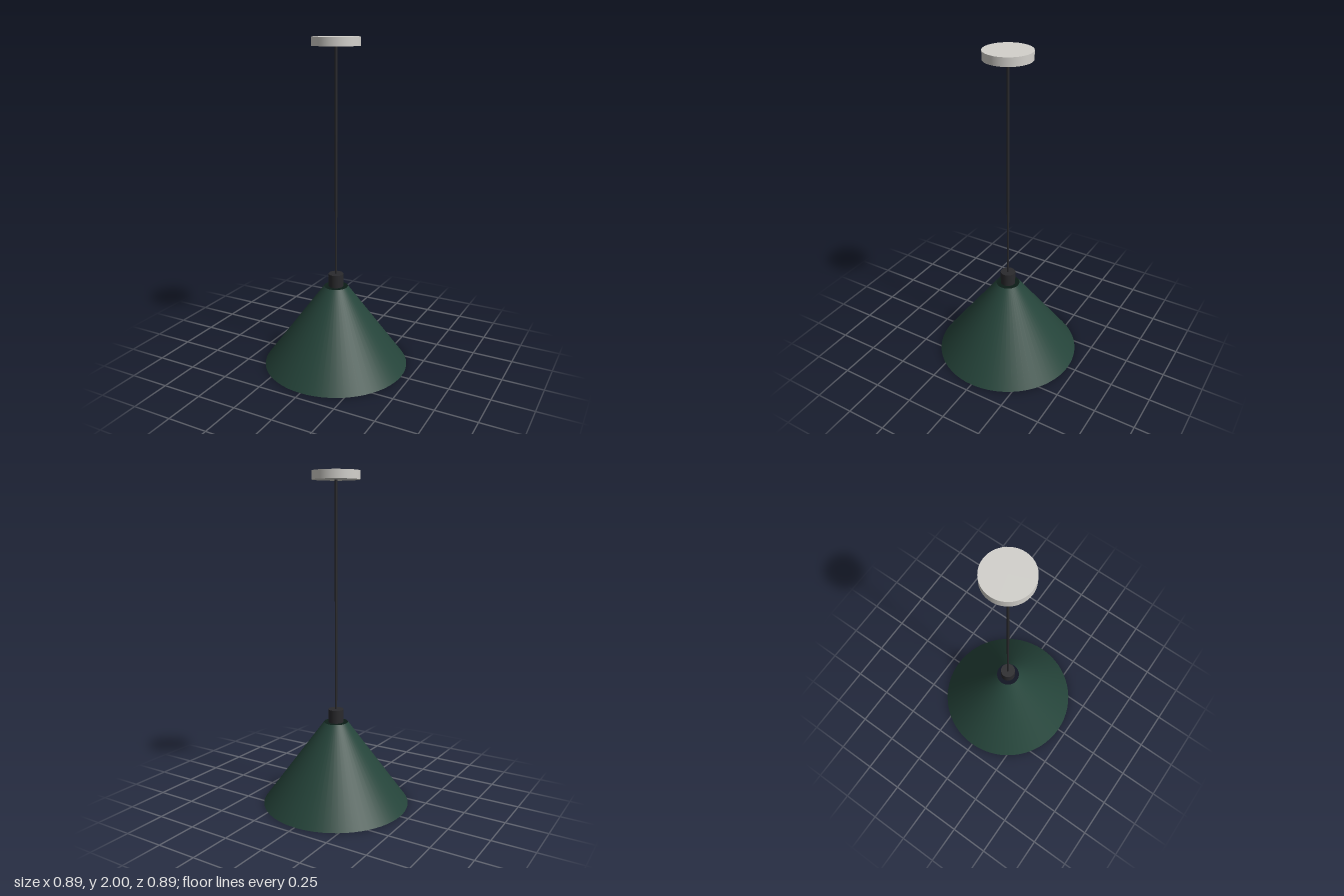
import * as THREE from 'three';

const material = (name, color, side = THREE.FrontSide) => {
  const m = new THREE.MeshStandardMaterial({ color, side });
  m.name = name;
  return m;
};

export function createModel() {
  const group = new THREE.Group();
  group.name = 'pendantLamp';

  const green = material('dark green', 0x25443a, THREE.DoubleSide);
  const black = material('charcoal', 0x2a2a2d);
  const white = material('warm white', 0xd3d1cc);

  // Round part standing between two heights
  const addRound = (name, mat, rTop, rBottom, y0, y1, segments, open = false) => {
    const geometry = new THREE.CylinderGeometry(rTop, rBottom, y1 - y0, segments, 1, open);
    const mesh = new THREE.Mesh(geometry, mat);
    mesh.name = name;
    mesh.position.y = (y0 + y1) / 2;
    group.add(mesh);
  };

  // Open conical shade, with the socket on its neck
  addRound('shade', green, 0.073, 0.447, 0, 0.51, 64, true);
  addRound('socket', black, 0.046, 0.046, 0.51, 0.59, 32);

  // Cord up to the ceiling canopy
  addRound('cord', black, 0.0075, 0.0075, 0.58, 1.96, 12);
  addRound('canopy', white, 0.14, 0.14, 1.95, 2, 48);

  return group;
}
